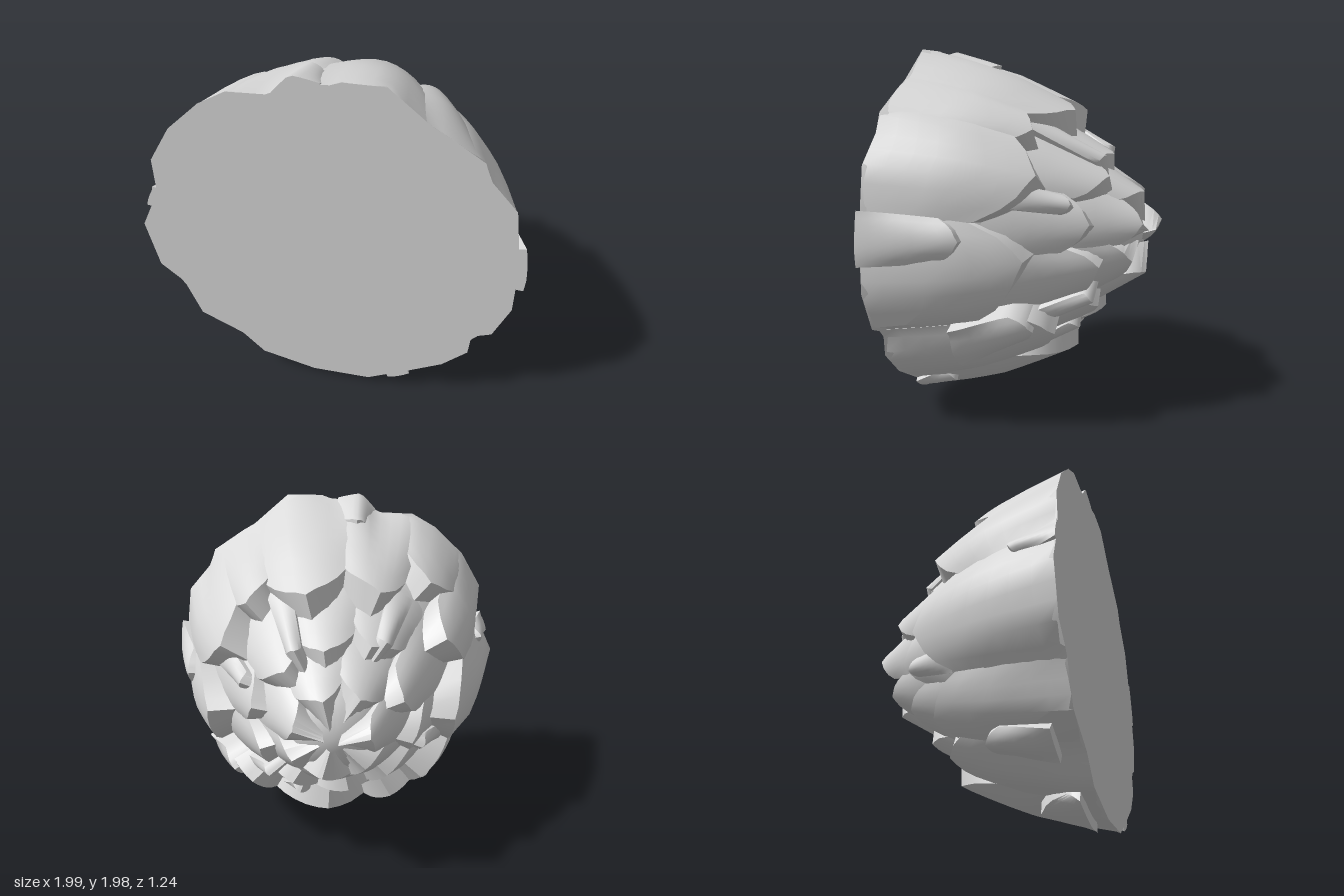
import * as THREE from 'three';
import { toCreasedNormals } from 'three/addons/utils/BufferGeometryUtils.js';

const BASE_Z = 0.62;
const RAD = Math.PI / 180;

// irregular rim of the flat base, as [x, y] round the centre (0, 1)
const RIM = [
  [0.95, 0.98], [0.93, 1.2], [0.9, 1.4], [0.76, 1.56], [0.73, 1.65], [0.55, 1.77], [0.48, 1.81],
  [0.28, 1.98], [0.08, 1.98], [0, 1.95], [-0.15, 1.97], [-0.24, 1.88], [-0.46, 1.87],
  [-0.6, 1.79], [-0.77, 1.63], [-0.89, 1.43], [-0.89, 1.23], [-1, 1], [-0.95, 0.72],
  [-0.83, 0.61], [-0.75, 0.38], [-0.52, 0.26], [-0.4, 0.13], [-0.1, 0.05], [0.22, 0.05],
  [0.45, 0.17], [0.63, 0.27], [0.76, 0.4], [0.77, 0.53], [0.87, 0.57], [0.95, 0.77],
];
// radius of each layer along z, as [z, scale of the rim]
const CORE = [[0.62, 1], [0.2, 0.81], [0, 0.66], [-0.4, 0.31], [-0.5, 0.2], [-0.54, 0.08]];
const OUTER = [[0.62, 1], [0.4, 0.945], [0.2, 0.885], [0, 0.79], [-0.4, 0.57]];
const MIDDLE = [[0.2, 0.78], [0, 0.68], [-0.45, 0.4]];
const INNER = [[-0.1, 0.53], [-0.3, 0.42], [-0.62, 0.2]];
// how far the pointed end falls back from its tip towards the sides
const POINT = [[0, 0], [0.5, 0.28], [0.8, 0.6], [1, 1]];
// sideways place of the point, repeated round each layer
const SKEW = [0, 0.25, 0, -0.25];

// outer scales: angle, half width, tip z
const OUTER_SCALES = [
  [30, 22, -0.16], [-10, 21, -0.13], [-46, 17, -0.21], [-82, 24, -0.2], [-118, 15, -0.12], [-140, 16, -0.14],
  [-174, 22, -0.2], [152, 16, -0.12], [130, 16, 0.07], [107, 15, -0.16], [78, 20, -0.21], [53, 11, -0.09],
];
// tip z of the evenly spaced scales further back
const MIDDLE_TIPS = [-0.38, -0.43, -0.4, -0.33, -0.44, -0.36, -0.37, -0.33, -0.37, -0.42];
const INNER_TIPS = [-0.6, -0.57, -0.53, -0.62, -0.55, -0.59, -0.55];
// nodules near the rim: angle, half width, root z, tip z, lift
const RIM_NODULES = [
  [3, 8, 0.62, 0.14, 0.045], [168, 4, 0.62, 0.37, 0.03], [98, 7, 0.62, 0.33, 0.02], [-66, 4, 0.62, 0.4, 0.03],
  [-100, 11, 0.54, 0.3, 0.06], [-130, 6, 0.5, 0.15, 0.07], [-38, 9, 0.25, -0.13, 0.05],
];
// nodules further back: angle, tip z
const BACK_NODULES = [[122, -0.32], [64, -0.4], [22, -0.3], [-42, -0.38], [-70, -0.26], [-160, -0.3]];

function lerpTable(table, x) {
  const dir = Math.sign(table[1][0] - table[0][0]);
  for (let i = 1; i < table.length; i++) {
    const [x0, y0] = table[i - 1], [x1, y1] = table[i];
    if ((x - x1) * dir <= 0) return y0 + (y1 - y0) * Math.max(0, (x - x0) / (x1 - x0));
  }
  return table[table.length - 1][1];
}

// distance from the centre to the rim along an angle
function rimRadius(a) {
  const dx = Math.cos(a), dy = Math.sin(a);
  for (let i = 0; i < RIM.length; i++) {
    const [px, py] = RIM[i], [qx, qy] = RIM[(i + 1) % RIM.length];
    const c0 = dx * (py - 1) - dy * px, c1 = dx * (qy - 1) - dy * qx;
    if (c0 <= 0 && c1 > 0) {
      const t = c0 / (c0 - c1);
      return Math.hypot(px + (qx - px) * t, py - 1 + (qy - py) * t);
    }
  }
  return 0.95;
}

// rim irregularity fades out towards the tip
function surface(profile, a, z) {
  const k = Math.max(0, Math.min(1, (z + 0.1) / 0.72));
  return lerpTable(profile, z) * (0.95 * (1 - k) + rimRadius(a) * k);
}

const polar = (a, r, z) => [Math.cos(a) * r, 1 + Math.sin(a) * r, z];

function build(quads, crease) {
  const pos = [];
  for (const [a, b, c, d] of quads) pos.push(...a, ...b, ...c, ...a, ...c, ...d);
  const g = new THREE.BufferGeometry();
  g.setAttribute('position', new THREE.Float32BufferAttribute(pos, 3));
  return toCreasedNormals(g, crease);
}

// overlapping scale with a pointed end; valley is the fall of its sides
function scaleGeometry({ profile, valley, deg, half, z0, z1, lift0, lift1, skew }) {
  const NU = 8, NV = 7, outer = [], inner = [];
  const drop = 0.95 * half * RAD * lerpTable(profile, z1);
  for (let j = 0; j <= NV; j++) {
    const t = j / NV, rowO = [], rowI = [];
    for (let i = 0; i <= NU; i++) {
      const u = (i / NU) * 2 - 1;
      const side = Math.abs(u - skew) / (u > skew ? 1 - skew : 1 + skew);
      const z = z0 + (z1 + drop * lerpTable(POINT, side) - z0) * t;
      const a = (deg + half * u * (1 - 0.08 * t * t)) * RAD;
      const r = surface(profile, a, z) + lift0 + (lift1 - lift0) * t - valley * u * u * Math.min(1, 0.15 + t);
      rowO.push(polar(a, r, z));
      rowI.push(polar(a, Math.max(0.03, r - 0.17), z));
    }
    outer.push(rowO);
    inner.push(rowI);
  }
  const quads = [], ring = [];
  for (let j = 0; j < NV; j++)
    for (let i = 0; i < NU; i++)
      quads.push([outer[j][i], outer[j + 1][i], outer[j + 1][i + 1], outer[j][i + 1]]);
  // walls round the edge
  for (let j = 0; j < NV; j++) ring.push([j, 0]);
  for (let i = 0; i < NU; i++) ring.push([NV, i]);
  for (let j = NV; j > 0; j--) ring.push([j, NU]);
  for (let i = NU; i > 0; i--) ring.push([0, i]);
  ring.forEach(([j, i], k) => {
    const [m, n] = ring[(k + 1) % ring.length];
    quads.push([outer[j][i], inner[j][i], inner[m][n], outer[m][n]]);
  });
  return build(quads, 0.6);
}

function domeGeometry() {
  const rings = CORE.map(([z]) => RIM.map(([x, y]) => {
    const a = Math.atan2(y - 1, x);
    return polar(a, surface(CORE, a, z), z);
  }));
  rings.push(RIM.map(() => [0, 1, -0.55]));
  const quads = [];
  for (let j = 0; j + 1 < rings.length; j++)
    RIM.forEach((_, i) => {
      const n = (i + 1) % RIM.length;
      quads.push([rings[j][i], rings[j + 1][i], rings[j + 1][n], rings[j][n]]);
    });
  return build(quads, 0.8);
}

export function createModel() {
  const stone = new THREE.MeshStandardMaterial({ color: 0xdadada, side: THREE.DoubleSide });
  stone.name = 'pale grey';
  const model = new THREE.Group();
  model.name = 'scalyDome';
  const add = (geometry, name, parent = model) => {
    const mesh = new THREE.Mesh(geometry, stone);
    mesh.name = name;
    parent.add(mesh);
  };
  // a layer shares some settings and varies the rest item by item
  const addLayer = (name, shared, items, vary) => {
    const group = new THREE.Group();
    group.name = name + 's';
    items.forEach((item, i) => add(scaleGeometry({ skew: SKEW[i % 4], ...shared, ...vary(item, i) }), name, group));
    model.add(group);
  };

  const base = new THREE.ShapeGeometry(new THREE.Shape(RIM.map(([x, y]) => new THREE.Vector2(x, y))));
  add(base.translate(0, 0, BASE_Z), 'flatBase');
  add(domeGeometry(), 'innerDome');

  addLayer('outerScale', { profile: OUTER, valley: 0.045, z0: BASE_Z, lift0: 0, lift1: 0.03 }, OUTER_SCALES,
    ([deg, half, z1]) => ({ deg, half, z1 }));
  addLayer('middleScale', { profile: MIDDLE, valley: 0.04, half: 21, z0: 0.2, lift0: 0, lift1: 0.015 }, MIDDLE_TIPS,
    (z1, i) => ({ deg: 12 + 36 * i, z1 }));
  addLayer('innerScale', { profile: INNER, valley: 0.03, half: 30, z0: -0.1, lift0: 0, lift1: 0.01 }, INNER_TIPS,
    (z1, i) => ({ deg: 20 + (360 / 7) * i, z1 }));
  addLayer('rimNodule', { profile: OUTER, valley: 0.05, skew: 0 }, RIM_NODULES,
    ([deg, half, z0, z1, lift]) => ({ deg, half, z0, z1, lift0: lift, lift1: lift }));
  addLayer('backNodule', { profile: MIDDLE, valley: 0.04, half: 6, z0: 0, lift0: 0.05, lift1: 0.06 }, BACK_NODULES,
    ([deg, z1]) => ({ deg, z1 }));
  return model;
}
